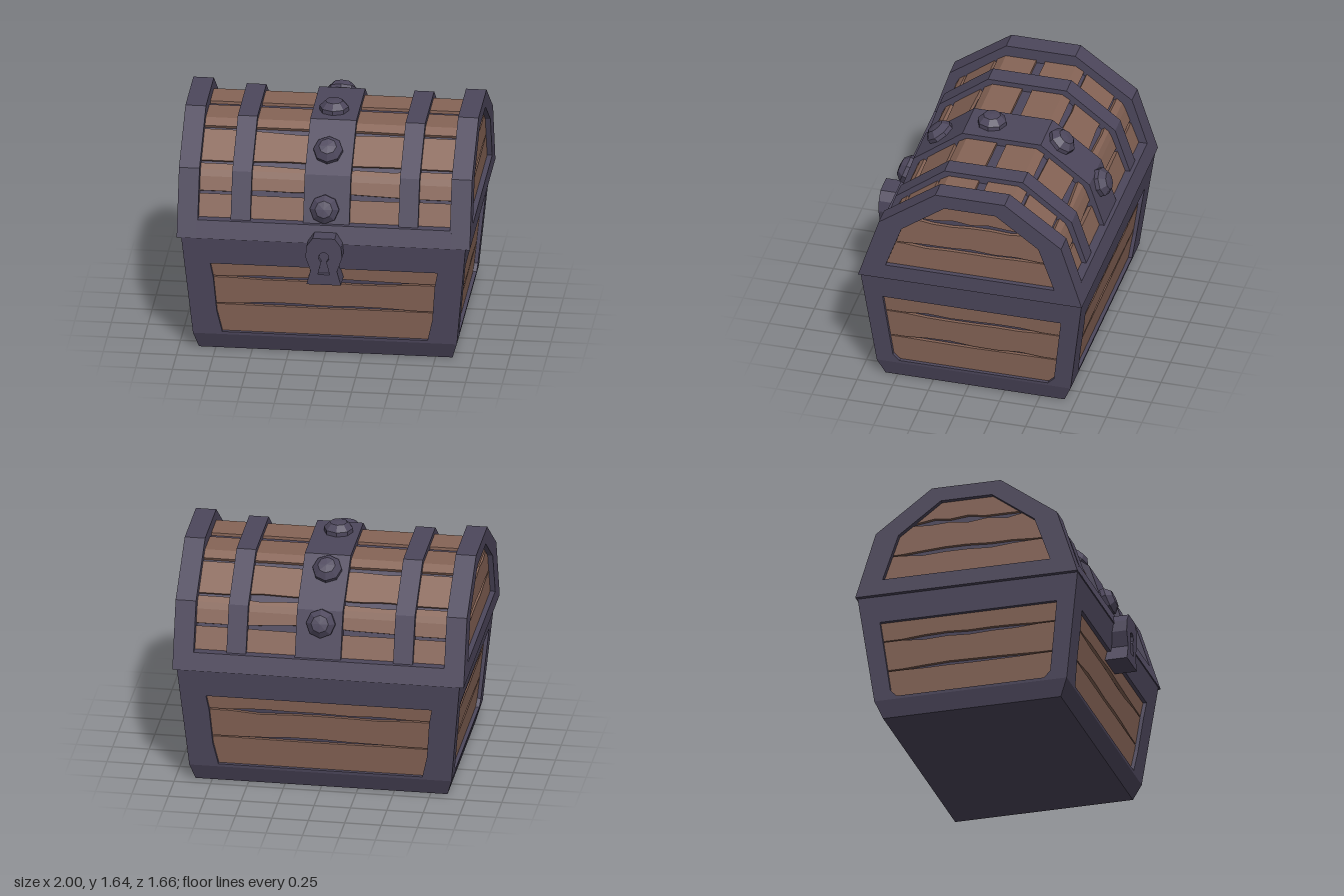
import * as THREE from 'three';

const iron = new THREE.MeshStandardMaterial({ color: 0x4d475c, flatShading: true });
const wood = new THREE.MeshStandardMaterial({ color: 0x866456, flatShading: true });
const CZ = -0.042; // depth centre of the chest

const lerp = THREE.MathUtils.lerp;
const chip = (n) => { const v = Math.sin(n * 12.9898) * 43758.5453; return v - Math.floor(v); };

// Piecewise linear lookup: points are [key, value]
function along(points, k) {
  let i = 1;
  while (i < points.length - 1 && k > points[i][0]) i++;
  const [a, b] = [points[i - 1], points[i]];
  return lerp(a[1], b[1], (k - a[0]) / (b[0] - a[0]));
}

function warp(geo, fn) {
  const p = geo.attributes.position, v = new THREE.Vector3();
  for (let i = 0; i < p.count; i++) {
    v.fromBufferAttribute(p, i);
    p.setXYZ(i, ...fn(v.x, v.y, v.z));
  }
  geo.computeVertexNormals();
  return geo;
}

function add(parent, name, geo, mat) {
  const m = new THREE.Mesh(geo, mat);
  m.name = name;
  parent.add(m);
  return m;
}

// Closed polygon from its right half, mirrored to the left
const mirrored = (half) => [...half, ...half.map(([x, y]) => [-x, y]).reverse()];
const toShape = (pts) => new THREE.Shape(pts.map(([x, y]) => new THREE.Vector2(x, y)));
const toPath = (pts) => new THREE.Path(pts.map(([x, y]) => new THREE.Vector2(x, y)));

// Plank with chipped long edges; place(u, t, d) maps length, height and thickness
function plank(seed, length, t0, t1, wear, place, rows = 1) {
  const cols = 8;
  return warp(new THREE.BoxGeometry(1, 1, 1, cols, rows, 1), (x, y, z) => {
    const c = Math.round((x + 0.5) * cols);
    const worn = c > 1 && c < cols - 1 ? wear * chip(seed * 17 + c + (y > 0 ? 50 : 0)) : 0;
    const t = lerp(t0, t1, y + 0.5) - (Math.abs(y) > 0.49 ? Math.sign(y) * worn : 0);
    return place(x * length, t, z + 0.5);
  });
}

// Body half-sizes by height
const bodyX = [[0, 0.865], [0.12, 0.9], [0.865, 0.97]];
const bodyZ = [[0, 0.628], [0.12, 0.68], [0.865, 0.777]];

function buildBody() {
  const body = new THREE.Group();
  body.name = 'body';
  const levels = [0, 0.12, 0.865];
  add(body, 'bodyCore', warp(new THREE.BoxGeometry(2, 2, 2, 1, 2, 1), (x, y, z) => {
    const h = levels[Math.round(y + 1)];
    return [x * (along(bodyX, h) - 0.05), h, z * (along(bodyZ, h) - 0.05)];
  }), iron);

  const frontHole = [[0.7, 0.14], [0.735, 0.3], [0.755, 0.56], [0.775, 0.67]];
  const sideHole = [[0.52, 0.14], [0.565, 0.185], [0.625, 0.68]];
  for (let i = 0; i < 4; i++) {
    const side = i % 2 === 1;
    const [U, F] = side ? [bodyZ, bodyX] : [bodyX, bodyZ];
    const wall = new THREE.Group();
    wall.name = ['frontWall', 'leftWall', 'backWall', 'rightWall'][i];
    wall.rotation.y = i * Math.PI / 2;
    body.add(wall);
    const lean = (x, y, z) => [x, y, along(F, y) - 0.05 + z];
    // Iron frame: foot band and upper frame with an opening
    const row = (y) => [along(U, y), y];
    const foot = toShape(mirrored([row(0), row(0.12)]));
    const frame = toShape(mirrored([row(0.12), row(0.865)]));
    frame.holes.push(toPath(mirrored(side ? sideHole : frontHole)));
    for (const [name, s] of [['footBand', foot], ['wallFrame', frame]])
      add(wall, name, warp(new THREE.ExtrudeGeometry(s, { depth: 0.05, bevelEnabled: false }), lean), iron);
    // Recessed planks
    const cuts = side ? [[0.13, 0.332], [0.34, 0.545], [0.552, 0.7]] : [[0.13, 0.346], [0.354, 0.555], [0.566, 0.69]];
    cuts.forEach(([a, b], k) => add(wall, 'wallPlank',
      plank(i * 5 + k + 1, side ? 1.28 : 1.62, a, b, k > 0 ? 0.018 : 0.006,
        (u, y, d) => lean(u, y, -0.01 + d * 0.034)), wood));
  }
  return body;
}

// Half profiles of the lid: [depth, height]
const lidOuter = [[0.785, 0.865], [0.64, 1.32], [0.243, 1.61]];
const lidStrap = [[0.742, 0.92], [0.617, 1.3], [0.275, 1.565]];
const lidCore = [[0.68, 0.866], [0.56, 1.265], [0.245, 1.51]];
const lidHole = [[0.592, 0.975], [0.48, 1.29], [0.18, 1.51]];
const lidPlank = [[0.7, 0.95], [0.58, 1.28], [0.255, 1.53], [0.0, 1.53]];

// Extrude a lid section across the chest from x0 to x1
function across(half, x0, x1, hole) {
  const s = toShape(mirrored(half));
  if (hole) s.holes.push(toPath(mirrored(hole)));
  return new THREE.ExtrudeGeometry(s, { depth: x1 - x0, bevelEnabled: false })
    .rotateY(-Math.PI / 2).translate(x1, 0, 0);
}

function buildLid() {
  const lid = new THREE.Group();
  lid.name = 'lid';
  add(lid, 'lidCore', across(lidCore, -0.94, 0.94), iron);
  add(lid, 'lidRim', across([[0.785, 0.865], [0.747, 0.985]], -0.87, 0.87), iron);
  add(lid, 'centreStrap', across(lidStrap, -0.145, 0.17), iron);
  for (const s of [-1, 1]) {
    add(lid, 'sideStrap', across(lidStrap, s * 0.572 - 0.067, s * 0.572 + 0.067), iron);
    add(lid, 'endFrame', across(lidOuter, s * 0.93 - 0.07, s * 0.93 + 0.07, lidHole), iron);
  }

  // Curved planks, front half then back half
  const lengths = [0];
  for (let i = 1; i < lidPlank.length; i++)
    lengths.push(lengths[i - 1] + Math.hypot(lidPlank[i][0] - lidPlank[i - 1][0], lidPlank[i][1] - lidPlank[i - 1][1]));
  const depthAt = lengths.map((l, i) => [l, lidPlank[i][0]]);
  const heightAt = lengths.map((l, i) => [l, lidPlank[i][1]]);
  const place = (x, s, d) => {
    const z = along(depthAt, s), y = along(heightAt, s);
    const n = new THREE.Vector2(z, (y - 0.75) * 0.75).normalize().multiplyScalar((d - 1) * 0.04);
    return [x, y + n.y, z + n.x];
  };
  for (let h = 0; h < 2; h++) {
    const half = new THREE.Group();
    half.name = h ? 'backLidPlanks' : 'frontLidPlanks';
    half.rotation.y = h * Math.PI;
    lid.add(half);
    [[0, 0.197], [0.216, 0.41], [0.432, 0.675], [0.7, 0.985]].forEach(([a, b], k) =>
      add(half, 'lidPlank', plank(h * 9 + k + 2, 1.74, a, b, k === 1 || k === 2 ? 0.025 : 0.006, place, 4), wood));
  }

  // Straight planks in the arched ends
  const widthAt = lidOuter.map(([z, y]) => [y, z - 0.06]);
  for (const s of [1, -1]) {
    const end = new THREE.Group();
    end.name = s > 0 ? 'leftEndPlanks' : 'rightEndPlanks';
    end.rotation.y = s * Math.PI / 2;
    lid.add(end);
    [[0.95, 1.152], [1.16, 1.362], [1.375, 1.54]].forEach(([a, b], k) =>
      add(end, 'endPlank', plank(k + 30 + s, 2, a, b, 0.022,
        (u, y, d) => [u * along(widthAt, y), y, 0.92 + d * 0.045]), wood));
  }

  // Faceted rivets on the centre strap: [z, y, normal z, normal y]
  const dome = [[0.1, -0.02], [0.1, 0.03], [0.06, 0.07], [0, 0.077]].map(([r, y]) => new THREE.Vector2(r, y));
  const rivets = [[0.689, 1.08, 0.94, 0.335], [0.47, 1.414, 0.61, 0.79], [0.112, 1.565, 0, 1],
    [-0.37, 1.491, -0.61, 0.79], [-0.645, 1.215, -0.94, 0.335]];
  for (const [z, y, nz, ny] of rivets) {
    const r = add(lid, 'rivet', new THREE.LatheGeometry(dome, 8), iron);
    r.position.set(0, y, z);
    r.rotation.x = Math.atan2(nz, ny);
  }
  return lid;
}

// Lock plate with a keyhole recess
function buildLock() {
  const lock = new THREE.Group();
  lock.name = 'lock';
  lock.position.x = 0.013;
  const outline = mirrored([[0.118, 0.6], [0.09, 0.7], [0.125, 0.8], [0.118, 0.88], [0.075, 0.94]]);
  const keyhole = [[0.04, 0.675], [0.018, 0.765], [0.035, 0.79], [0.03, 0.82], [0.013, 0.835]];
  const plate = toShape(outline);
  plate.holes.push(toPath(mirrored(keyhole)));
  add(lock, 'lockBack', new THREE.ExtrudeGeometry(toShape(outline), { depth: 0.14, bevelEnabled: false }).translate(0, 0, 0.66), iron);
  add(lock, 'lockPlate', new THREE.ExtrudeGeometry(plate, { depth: 0.03, bevelEnabled: false }).translate(0, 0, 0.8), iron);
  return lock;
}

export function createModel() {
  const chest = new THREE.Group();
  chest.name = 'chest';
  const body = buildBody(), lid = buildLid();
  body.position.z = lid.position.z = CZ;
  chest.add(body, lid, buildLock());
  return chest;
}
